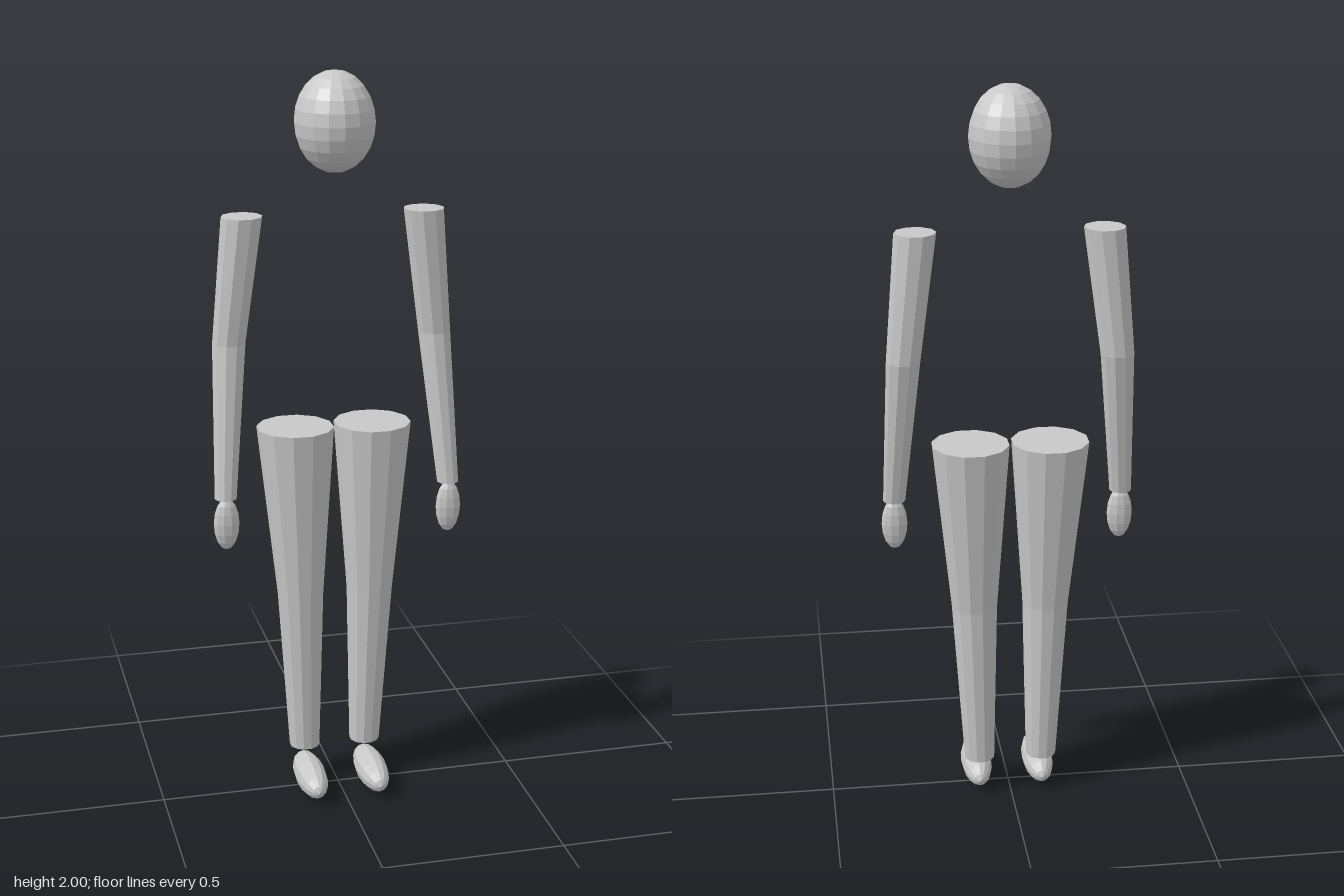
import * as THREE from 'three';

const grey = new THREE.MeshStandardMaterial({ color: 0xc8c8c8, flatShading: true });
grey.name = 'grey';

function facet(geometry) {
  const g = geometry.toNonIndexed();
  g.computeVertexNormals();
  return g;
}

function part(name, geometry, x = 0, y = 0, z = 0) {
  const mesh = new THREE.Mesh(facet(geometry), grey);
  mesh.name = name;
  mesh.position.set(x, y, z);
  return mesh;
}

// Capped limb through level rings [x, y, z, radius], listed from top to bottom
function limb(rings, sides, side) {
  const n = rings.length - 1;
  const g = new THREE.CylinderGeometry(1, 1, 1, sides, n, false, Math.PI / sides);
  const p = g.attributes.position;
  for (let i = 0; i < p.count; i++) {
    const [x, y, z, r] = rings[Math.round((0.5 - p.getY(i)) * n)];
    p.setXYZ(i, side * x + p.getX(i) * r, y, z + p.getZ(i) * r);
  }
  return g;
}

const ARM = [[0.245, 1.63, -0.05, 0.055], [0.282, 1.29, -0.062, 0.045], [0.309, 0.878, 0, 0.03]];
const LEG = [[0.107, 1.05, -0.05, 0.105], [0.098, 0.57, -0.037, 0.063], [0.087, 0.105, -0.045, 0.042]];

export function createModel() {
  const model = new THREE.Group();
  model.name = 'figure';

  // Egg-shaped head
  model.add(part('head', new THREE.SphereGeometry(1, 16, 12).scale(0.106, 0.132, 0.117), 0, 1.868, -0.037));

  for (const side of [1, -1]) {
    const label = side > 0 ? 'left' : 'right';

    // Arm and hand
    model.add(part(label + 'Arm', limb(ARM, 10, side)));
    const hand = new THREE.SphereGeometry(1, 10, 8).scale(0.035, 0.073, 0.023);
    model.add(part(label + 'Hand', hand, side * 0.309, 0.808, 0.007));

    // Leg and foot, the foot's poles pointing forward and back
    model.add(part(label + 'Leg', limb(LEG, 12, side)));
    const foot = new THREE.SphereGeometry(1, 12, 8).rotateX(Math.PI / 2).scale(0.043, 0.046, 0.121);
    model.add(part(label + 'Foot', foot, side * 0.088, 0.046, 0.032));
  }
  return model;
}
